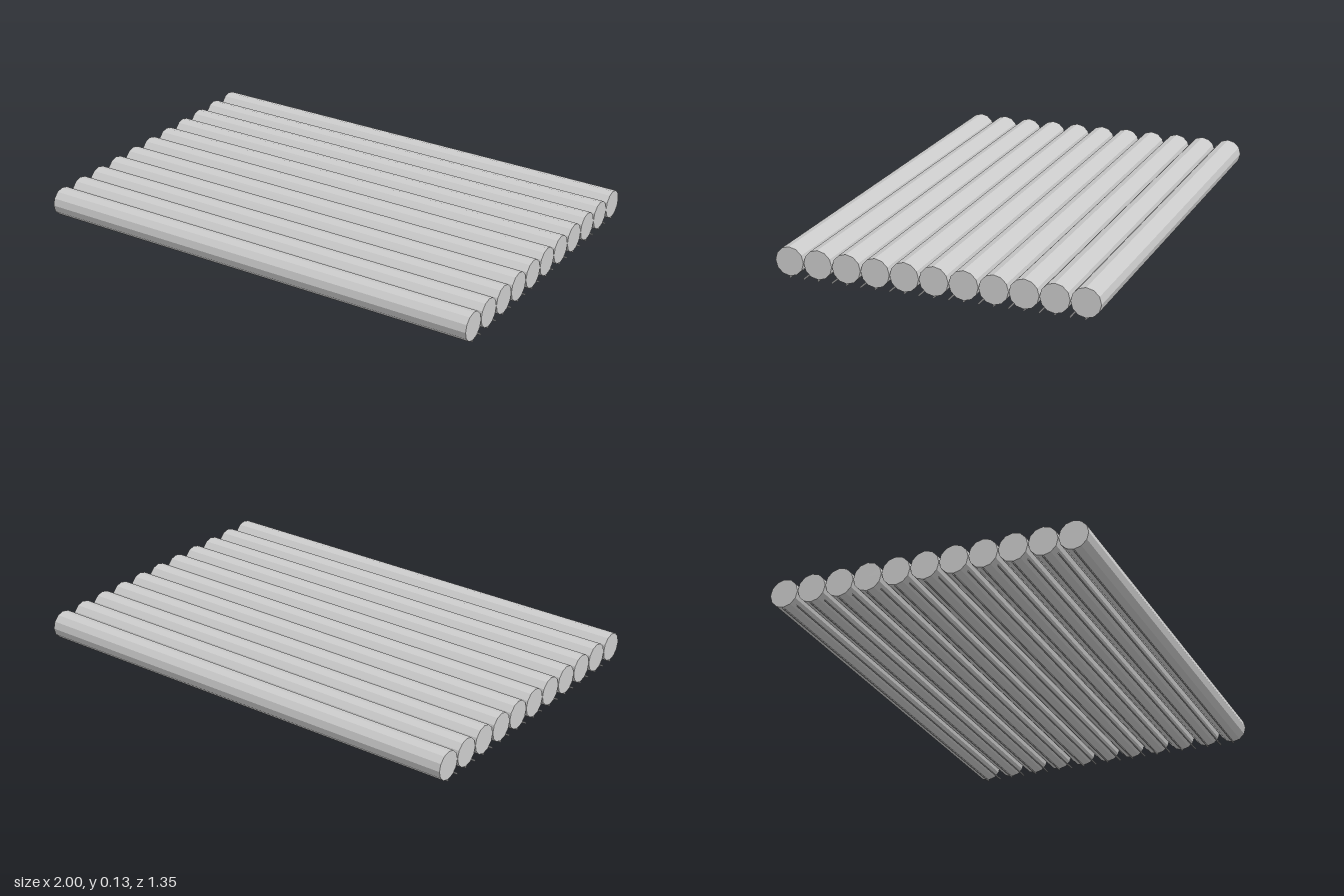
import * as THREE from 'three';

const LENGTH = 2;
const PITCH = 0.1228;

export function createModel() {
  const group = new THREE.Group();
  group.name = 'poleRaft';
  const grey = new THREE.MeshStandardMaterial({ color: 0xcccccc, flatShading: true });
  grey.name = 'light grey';

  // Cylinder lying along x
  const bar = (radius, sides) =>
    new THREE.CylinderGeometry(radius, radius, LENGTH, sides).rotateZ(Math.PI / 2);

  const add = (name, geometry, y, z) => {
    const mesh = new THREE.Mesh(geometry, grey);
    mesh.name = name;
    mesh.position.set(0, y, z);
    group.add(mesh);
  };

  // Eleven thick poles side by side
  const pole = bar(0.0607, 12);
  for (let i = -5; i <= 5; i++) add('pole', pole, 0.069, i * PITCH);

  // Thin rods beneath, one under each pole and one under each gap
  const rod = bar(0.0035, 8);
  for (let i = -10; i <= 10; i++) add('thinRod', rod, 0.0035, i * PITCH / 2);

  return group;
}
